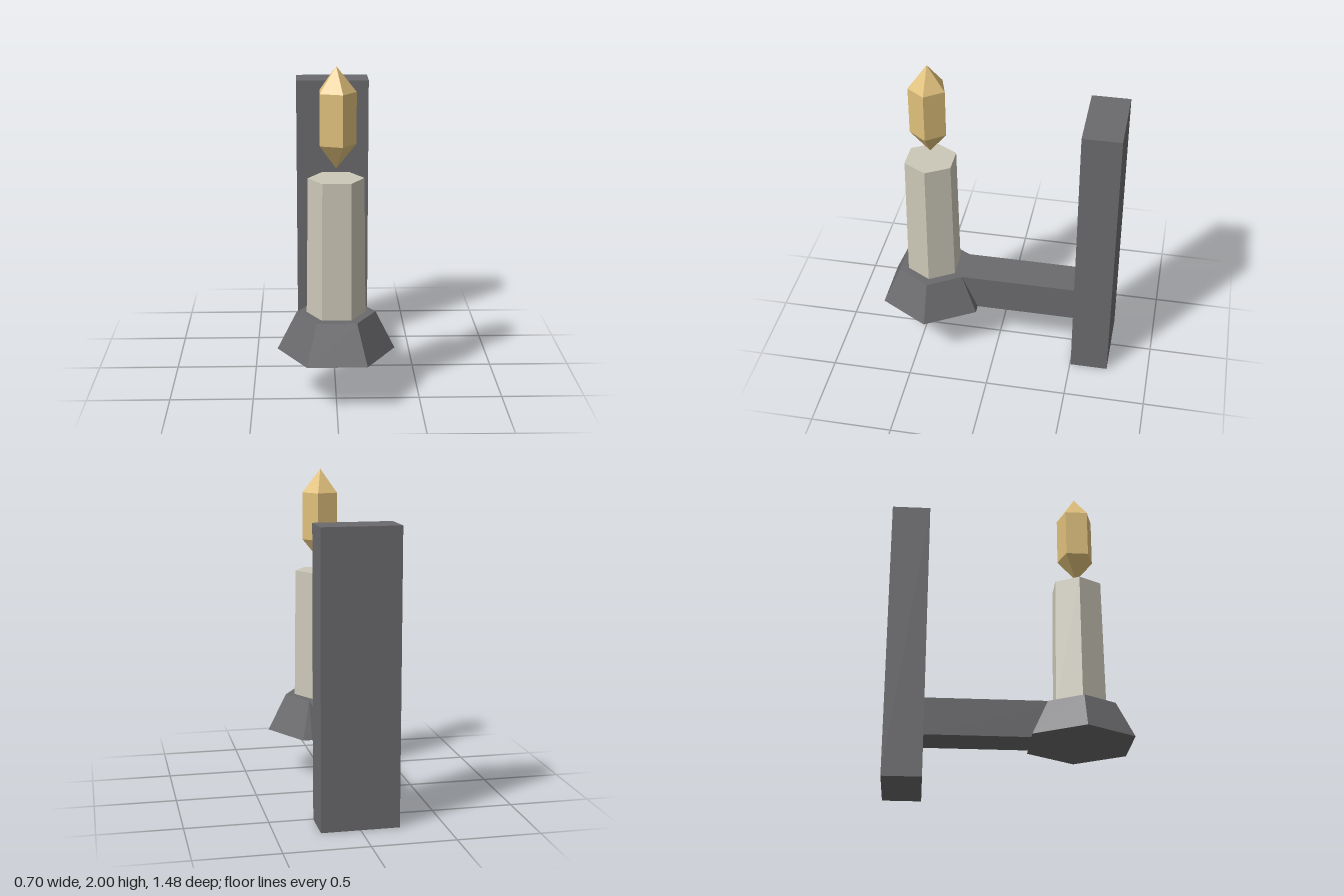
import * as THREE from 'three';

export function createModel() {
  const model = new THREE.Group();
  model.name = 'wallCandle';

  const material = (name, color) => {
    const m = new THREE.MeshStandardMaterial({ color, flatShading: true });
    m.name = name;
    return m;
  };
  const iron = material('dark iron', 0x6a6a6d);
  const wax = material('pale wax', 0xccc8b8);
  const flameGold = material('flame gold', 0xe0c07c);

  const add = (name, geometry, mat, y, z) => {
    const mesh = new THREE.Mesh(geometry, mat);
    mesh.name = name;
    mesh.position.set(0, y, z);
    model.add(mesh);
  };
  // Six-sided tapered prism with corners on the x axis
  const hexPrism = (top, bottom, height) =>
    new THREE.CylinderGeometry(top, bottom, height, 6, 1, false, Math.PI / 6);

  const candleZ = 0.433;

  // Wall plate and the arm reaching forward from it
  add('wallPlate', new THREE.BoxGeometry(0.468, 1.76, 0.234), iron, 0.88, -0.622);
  add('arm', new THREE.BoxGeometry(0.234, 0.232, 0.86), iron, 0.414, -0.08);

  // Flared cup and candle
  add('holder', hexPrism(0.235, 0.351, 0.232), iron, 0.414, candleZ);
  add('candle', hexPrism(0.164, 0.175, 0.82), wax, 0.94, candleZ);

  // Five-sided crystal-like flame floating above the candle
  const profile = [[0, 1.406], [0.117, 1.552], [0.117, 1.852], [0, 2]]
    .map(([r, y]) => new THREE.Vector2(r, y));
  add('flame', new THREE.LatheGeometry(profile, 5, Math.PI / 2), flameGold, 0, candleZ);

  return model;
}
